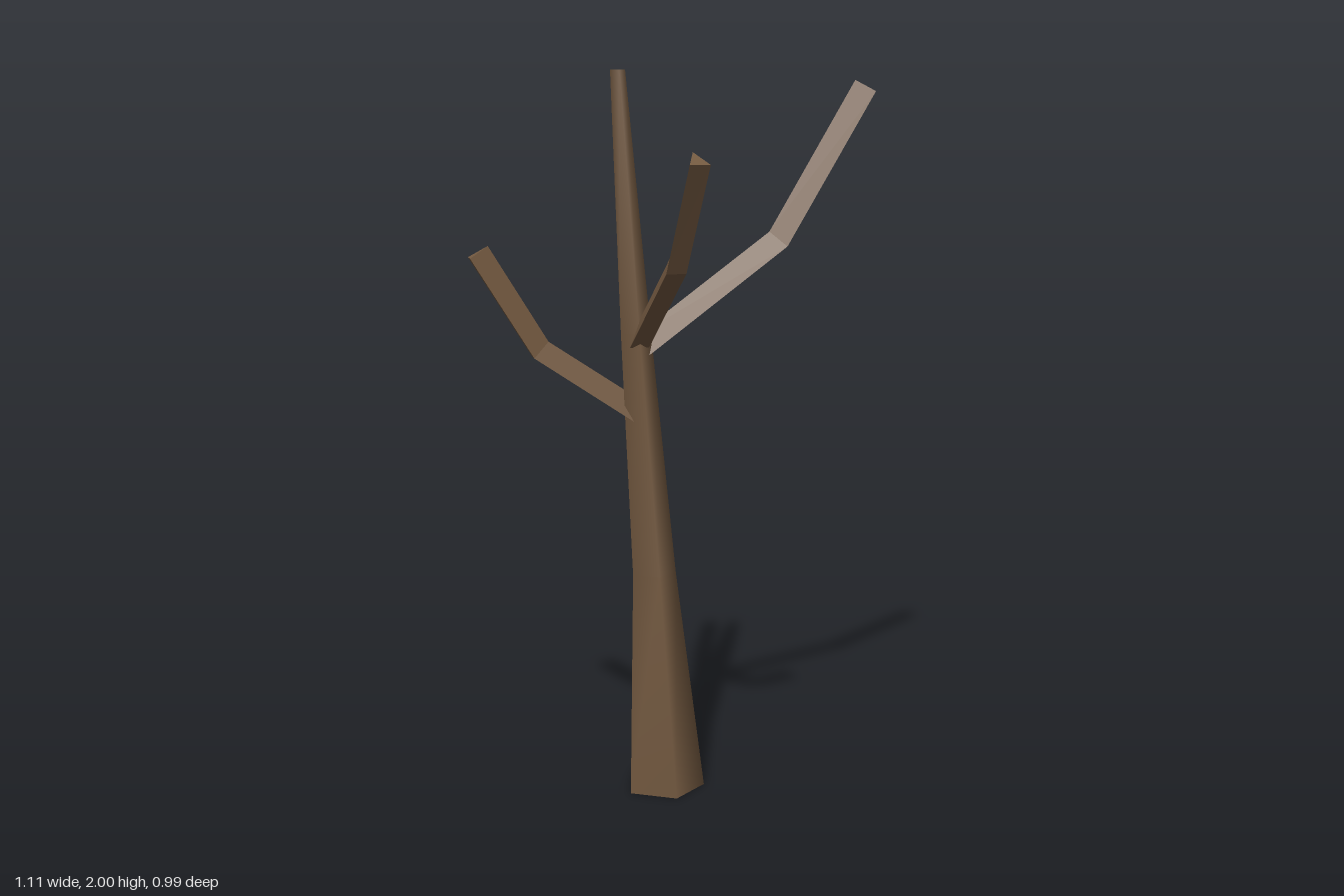
import * as THREE from 'three';

const bark = new THREE.MeshStandardMaterial({ color: 0x735940 });
bark.name = 'bark brown';

// Skins a series of rings (each counterclockwise about the growth direction) and caps both ends
function loft(rings, smooth) {
  const n = rings[0].length, pos = [], idx = [];
  rings.forEach((ring) => ring.forEach((p) => pos.push(p.x, p.y, p.z)));
  for (let i = 0; i < rings.length - 1; i++) {
    for (let j = 0; j < n; j++) {
      const k = (j + 1) % n;
      const a = i * n + j, b = i * n + k, c = b + n, d = a + n;
      idx.push(a, b, c, a, c, d);
    }
  }
  // Caps use their own vertices so their rims stay sharp
  const cap = (ring, flip) => {
    const s = pos.length / 3;
    ring.forEach((p) => pos.push(p.x, p.y, p.z));
    for (let j = 1; j < n - 1; j++) {
      if (flip) idx.push(s, s + j + 1, s + j);
      else idx.push(s, s + j, s + j + 1);
    }
  };
  cap(rings[0], true);
  cap(rings[rings.length - 1], false);
  let geo = new THREE.BufferGeometry();
  geo.setAttribute('position', new THREE.Float32BufferAttribute(pos, 3));
  geo.setIndex(idx);
  if (!smooth) geo = geo.toNonIndexed();
  geo.computeVertexNormals();
  return geo;
}

// Level five-sided ring of the trunk
function trunkRing([x, y, z, r]) {
  return Array.from({ length: 5 }, (_, j) => {
    const a = (j / 5) * Math.PI * 2;
    return new THREE.Vector3(x + r * Math.cos(a), y, z - r * Math.sin(a));
  });
}

// Triangular rings along a bent path: ridge on top, flat underneath
function branchRings(path, width, height) {
  const pts = path.map((p) => new THREE.Vector3(...p));
  const up = new THREE.Vector3(0, 1, 0);
  const segs = pts.slice(1).map((p, i) => p.clone().sub(pts[i]).normalize());
  return pts.map((p, i) => {
    const before = segs[Math.max(i - 1, 0)];
    const after = segs[Math.min(i, segs.length - 1)];
    const dir = before.clone().add(after).normalize();
    const side = dir.clone().cross(up).normalize();
    const ridge = side.clone().cross(dir);
    const corner = (s, h) => p.clone().addScaledVector(side, s * width / 2).addScaledVector(ridge, h * height / 2);
    return [corner(0, 1), corner(1, -1), corner(-1, -1)];
  });
}

export function createModel() {
  const tree = new THREE.Group();
  tree.name = 'bareTree';
  const add = (name, geo) => {
    const mesh = new THREE.Mesh(geo, bark);
    mesh.name = name;
    tree.add(mesh);
  };

  // Trunk: x, y, z, radius
  const trunk = [
    [-0.035, 0, 0.025, 0.115],
    [-0.066, 0.62, 0.003, 0.066],
    [-0.113, 1.3, 0.04, 0.045],
    [-0.157, 2, 0.027, 0.022],
  ];
  add('trunk', loft(trunk.map(trunkRing), true));

  // Branches: root, elbow, tip
  const branches = {
    leftBranch: [[-0.1, 1.26, 0.03], [0.28, 1.545, -0.072], [0.52, 1.96, -0.134]],
    rightBranch: [[-0.1, 1.08, 0.035], [-0.365, 1.26, 0.084], [-0.525, 1.525, 0.116]],
    frontBranch: [[-0.105, 1.285, 0.05], [-0.012, 1.505, 0.315], [0.042, 1.78, 0.467]],
    backBranch: [[-0.09, 0.905, 0.01], [-0.105, 1.115, -0.288], [-0.117, 1.415, -0.46]],
  };
  for (const [name, path] of Object.entries(branches)) {
    add(name, loft(branchRings(path, 0.055, 0.059), false));
  }
  return tree;
}
